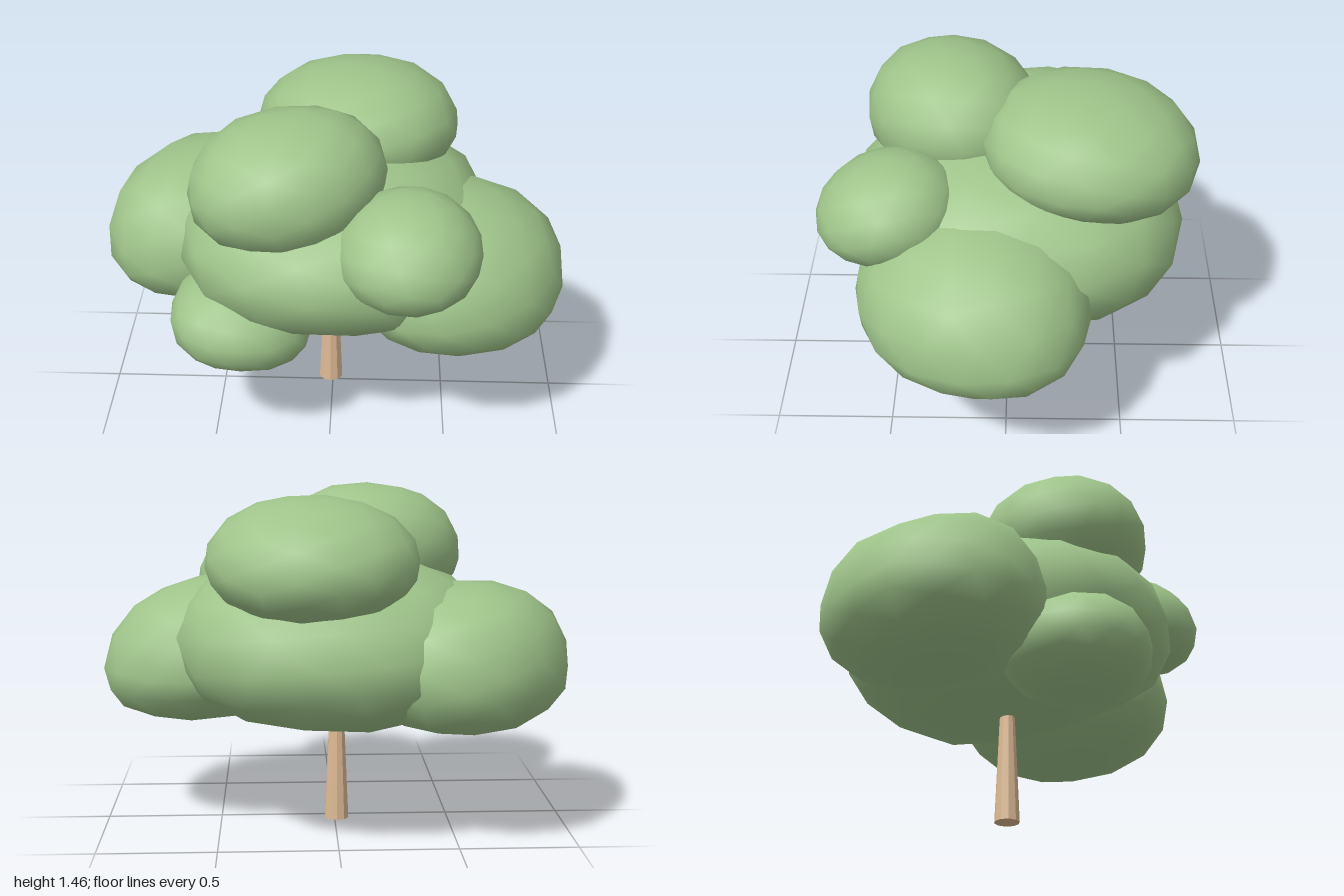
import * as THREE from 'three';
import { mergeVertices } from 'three/addons/utils/BufferGeometryUtils.js';

const leafGreen = new THREE.MeshStandardMaterial({ color: 0x9fc48a });
const barkBrown = new THREE.MeshStandardMaterial({ color: 0xdebb95, flatShading: true });
leafGreen.name = 'leafGreen';
barkBrown.name = 'barkBrown';

// A slightly lumpy leaf clump fitted into the box from min to max. It is widest at
// the height of the waist; slopeX and slopeZ lean its layers up towards +x and +z,
// and skew shifts its front end sideways.
function leafClump(name, min, max, waist, { seed, lump = 0.015, boxy = 2.1, slopeX = 0, slopeZ = 0, skew = 0 }) {
  let geo = new THREE.IcosahedronGeometry(1, 2);
  geo.deleteAttribute('uv');
  geo.deleteAttribute('normal');
  geo = mergeVertices(geo, 1e-4);
  geo.rotateX(seed * 1.3).rotateY(seed * 0.7);

  const lo = new THREE.Vector3(...min);
  const hi = new THREE.Vector3(...max);
  const size = hi.clone().sub(lo);

  // push the sphere towards a softened box, add gentle lumps, then lower its waist
  const pos = geo.attributes.position;
  const v = new THREE.Vector3();
  for (let i = 0; i < pos.count; i++) {
    v.fromBufferAttribute(pos, i);
    const norm = (Math.abs(v.x) ** boxy + Math.abs(v.y) ** boxy + Math.abs(v.z) ** boxy) ** (1 / boxy);
    const wave = Math.sin(4 * v.x + seed) + Math.sin(5 * v.y + 2 * seed) + Math.sin(4 * v.z + 3 * seed);
    v.multiplyScalar((1 + lump * wave) / norm);
    const x = v.x * size.x / 2;
    const z = v.z * size.z / 2;
    const y = v.y * (v.y > 0 ? hi.y - waist : waist - lo.y);
    pos.setXYZ(i, x + skew * z, y + slopeX * x + slopeZ * z, z);
  }

  // fit to the box
  geo.computeBoundingBox();
  const now = geo.boundingBox.getSize(new THREE.Vector3());
  const mid = geo.boundingBox.getCenter(new THREE.Vector3());
  geo.translate(-mid.x, -mid.y, -mid.z);
  geo.scale(size.x / now.x, size.y / now.y, size.z / now.z);
  geo.translate((lo.x + hi.x) / 2, (lo.y + hi.y) / 2, (lo.z + hi.z) / 2);
  geo.computeVertexNormals();

  const mesh = new THREE.Mesh(geo, leafGreen);
  mesh.name = name;
  return mesh;
}

export function createModel() {
  const tree = new THREE.Group();
  tree.name = 'tree';

  // tapered ten-sided trunk, its top hidden in the foliage
  const trunk = new THREE.Mesh(new THREE.CylinderGeometry(0.023, 0.054, 0.7, 10), barkBrown);
  trunk.name = 'trunk';
  trunk.position.set(-0.01, 0.35, -0.04);
  tree.add(trunk);

  // foliage: one wide core with six clumps around and above it
  tree.add(
    leafClump('coreFoliage', [-0.68, 0.46, -0.75], [0.68, 1.2, 0.67], 0.82,
      { seed: 1, lump: 0.015, boxy: 2.5, slopeX: 0.02, slopeZ: 0.05 }),
    leafClump('rightSideClump', [-1, 0.45, -0.72], [-0.1, 1.07, 0.23], 0.73,
      { seed: 2, boxy: 2.25, skew: -0.15 }),
    leafClump('leftSideClump', [0.08, 0.44, -0.35], [1, 1.07, 0.62], 0.68,
      { seed: 3, lump: 0.01, boxy: 2.2, slopeX: -0.08, skew: -0.12 }),
    leafClump('lowFrontClump', [-0.67, 0.39, 0], [-0.08, 0.78, 0.62], 0.57,
      { seed: 4, boxy: 2.2, slopeX: -0.08 }),
    leafClump('topFrontClump', [-0.58, 0.92, -0.13], [0.23, 1.46, 0.6], 1.18,
      { seed: 5, lump: 0.005, boxy: 2.15, slopeX: 0.05, skew: -0.12 }),
    leafClump('topBackClump', [-0.34, 0.94, -0.79], [0.54, 1.44, 0.1], 1.17,
      { seed: 6, lump: 0.005, slopeZ: 0.07 }),
    leafClump('highFrontClump', [0.02, 0.8, 0.18], [0.61, 1.23, 0.78], 1,
      { seed: 7, lump: 0.005, slopeZ: -0.1 }),
  );
  return tree;
}
